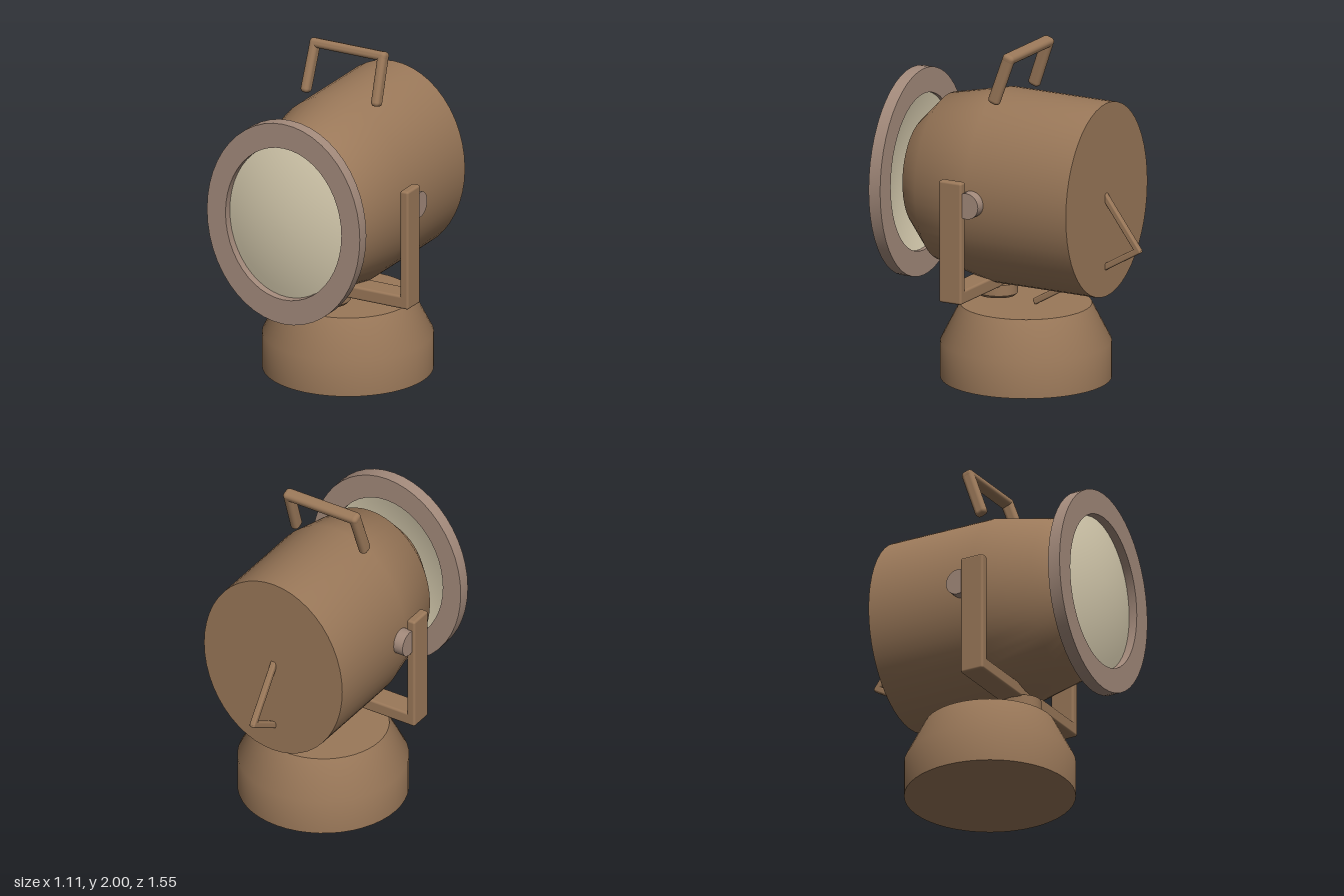
import * as THREE from 'three';
import { toCreasedNormals } from 'three/addons/utils/BufferGeometryUtils.js';
import { RoundedBoxGeometry } from 'three/addons/geometries/RoundedBoxGeometry.js';

const AXIS_Y = 1.138; // height of the lamp's axis
const OVAL = 0.82;    // width of the lamp's oval section against its height

function material(name, color) {
  const m = new THREE.MeshStandardMaterial({ color });
  m.name = name;
  return m;
}

// Turned solid around y; only edges sharper than 40 degrees stay sharp
function turned(profile, segments = 48) {
  const points = profile.map(([r, y]) => new THREE.Vector2(r, y));
  return toCreasedNormals(new THREE.LatheGeometry(points, segments), THREE.MathUtils.degToRad(40));
}

// Oval turned solid along the lamp's axis, profile as [radius, z]
function ovalTurned(profile) {
  const g = turned(profile);
  g.rotateX(Math.PI / 2);
  g.scale(OVAL, 1, 1);
  g.translate(0, AXIS_Y, 0);
  return g;
}

export function createModel() {
  const model = new THREE.Group();
  model.name = 'spotlight';
  const brown = material('brown metal', 0x9a7859);
  const rose = material('rose brown trim', 0xa38a7b);
  const cream = material('cream glass', 0xd8cdb0);
  cream.side = THREE.DoubleSide;

  function add(name, geometry, mat, x = 0, y = 0, z = 0, parent = model) {
    const mesh = new THREE.Mesh(geometry, mat);
    mesh.name = name;
    mesh.position.set(x, y, z);
    parent.add(mesh);
    return mesh;
  }
  const bar = (w, h, d, r) => new RoundedBoxGeometry(w, h, d, 3, r);

  // Pedestal and swivel collar
  add('base', turned([[0, 0], [0.5, 0], [0.5, 0.22], [0.385, 0.445], [0, 0.445]]), brown);
  const collar = turned([[0, 0.47], [0.115, 0.47], [0.13, 0.485], [0.13, 0.55], [0, 0.55]]);
  collar.scale(0.87, 1, 1);
  add('swivelCollar', collar, brown, 0, 0, 0.2);

  // Lamp housing, front ring and domed lens
  add('housing', ovalTurned([[0, -0.54], [0.582, -0.54], [0.582, 0.14],
    [0.5, 0.512], [0.335, 0.672], [0, 0.672]]), brown);
  add('frontRing', ovalTurned([[0.472, 0.686], [0.623, 0.686], [0.623, 0.763],
    [0.472, 0.763], [0.472, 0.686]]), rose);
  const dome = [];
  for (let i = 0; i <= 8; i++) {
    const r = 0.474 * (1 - i / 8);
    dome.push([r, 0.774 - 0.28 * r * r]);
  }
  add('lens', ovalTurned(dome), cream);

  // Yoke with its pivot knobs
  const yoke = new THREE.Group();
  yoke.name = 'yoke';
  model.add(yoke);
  add('yokeBottom', bar(1.1, 0.08, 0.15, 0.014), brown, 0, 0.58, 0.195, yoke);
  for (const side of [-1, 1]) {
    add('yokeArm', bar(0.055, 0.735, 0.15, 0.014), brown, side * 0.526, 0.9075, 0.195, yoke);
    const knob = new THREE.CylinderGeometry(0.078, 0.078, 0.09, 24);
    knob.rotateZ(Math.PI / 2);
    add('pivotKnob', knob, rose, side * 0.493, 1.138, 0.093, yoke);
  }

  // Carrying handle, leaning back
  const handle = new THREE.Group();
  handle.name = 'carryHandle';
  handle.position.set(0, 1.968, -0.014);
  handle.rotation.x = -0.34;
  model.add(handle);
  add('handleGrip', bar(0.51, 0.056, 0.074, 0.024), brown, 0, 0, 0, handle);
  for (const side of [-1, 1]) {
    const leg = add('handleLeg', bar(0.054, 0.325, 0.074, 0.024), brown, side * 0.231, -0.134, 0, handle);
    leg.rotation.z = side * 0.03;
  }

  // Bent rear lever, each rod given by its ends as [y, z]
  const rods = [[[0.86, -0.755], [0.465, -0.07]], [[0.86, -0.752], [1.16, -0.53]]];
  for (const [a, b] of rods) {
    const from = new THREE.Vector3(0, ...a);
    const to = new THREE.Vector3(0, ...b);
    const dir = to.clone().sub(from);
    const mid = from.clone().add(to).multiplyScalar(0.5);
    const rod = add('rearLever', bar(0.036, dir.length() + 0.03, 0.038, 0.01), brown, 0, mid.y, mid.z);
    rod.quaternion.setFromUnitVectors(new THREE.Vector3(0, 1, 0), dir.normalize());
  }

  return model;
}
